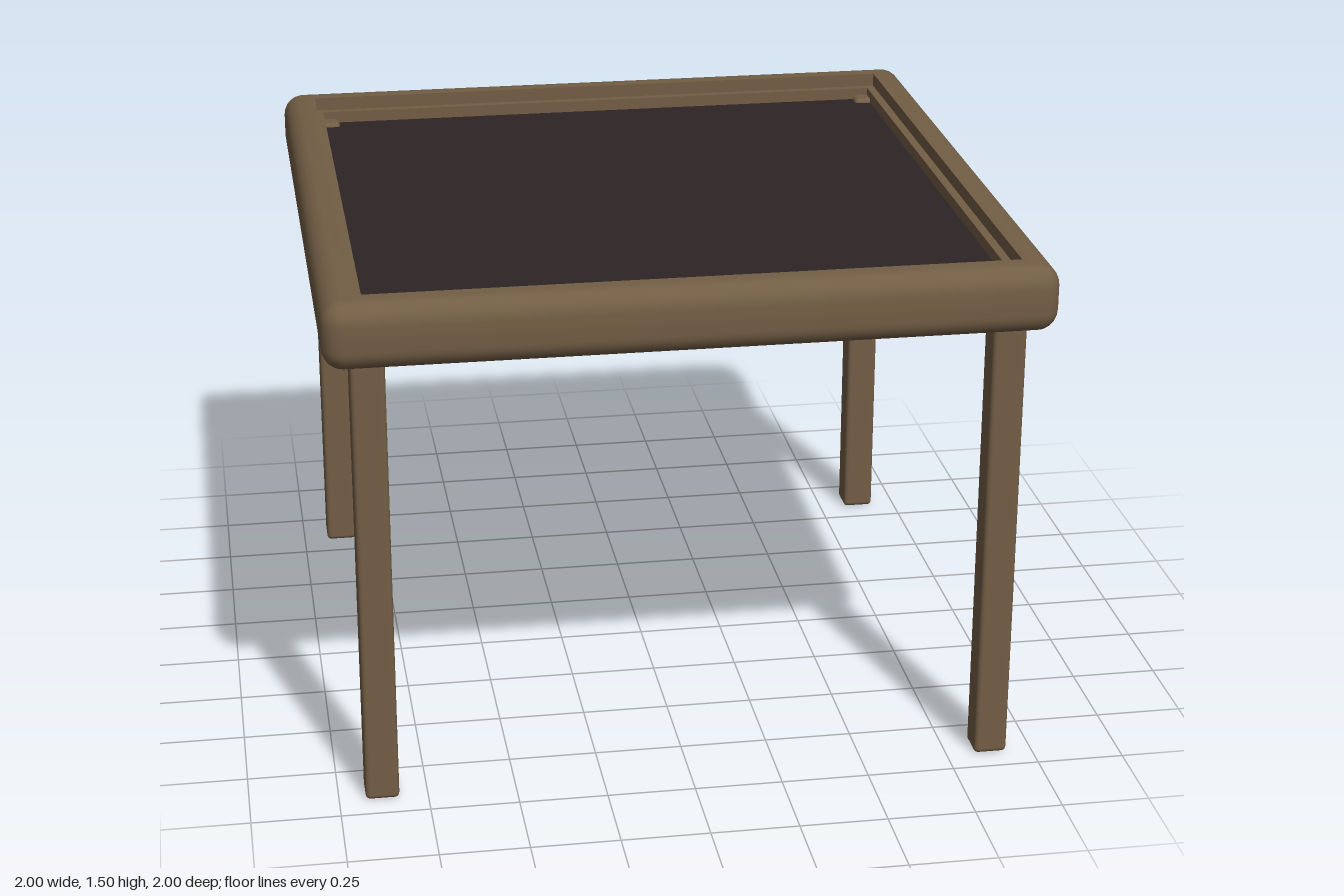
import * as THREE from 'three';
import { toCreasedNormals } from 'three/addons/utils/BufferGeometryUtils.js';
import { RoundedBoxGeometry } from 'three/addons/geometries/RoundedBoxGeometry.js';

const BOTTOM = 1.315, TOP = 1.505, LEDGE = 1.465, PANEL = 1.43, RADIUS = 0.06, STEPS = 6;

// Sweeps a profile of [inset, y] points around a square with rounded corners
function squareSweep(profile) {
  const positions = [], indices = [];
  const ring = 4 * (STEPS + 1);
  for (const [inset, y] of profile) {
    const r = Math.max(RADIUS - inset, 0);
    const c = 1 - inset - r;
    for (let corner = 0; corner < 4; corner++) {
      const mid = (corner + 0.5) * Math.PI / 2;
      const sx = Math.sign(Math.cos(mid)), sz = Math.sign(Math.sin(mid));
      for (let k = 0; k <= STEPS; k++) {
        const a = (corner + k / STEPS) * Math.PI / 2;
        positions.push(sx * c + r * Math.cos(a), y, sz * c + r * Math.sin(a));
      }
    }
  }
  const point = (n) => new THREE.Vector3().fromArray(positions, n * 3);
  const addFace = (a, b, c) => {
    const area = point(b).sub(point(a)).cross(point(c).sub(point(a))).length();
    if (area > 1e-9) indices.push(a, b, c);
  };
  for (let i = 0; i < profile.length - 1; i++) {
    for (let j = 0; j < ring; j++) {
      const a = i * ring + j, b = i * ring + (j + 1) % ring;
      addFace(a, a + ring, b);
      addFace(b, a + ring, b + ring);
    }
  }
  const geometry = new THREE.BufferGeometry();
  geometry.setAttribute('position', new THREE.Float32BufferAttribute(positions, 3));
  geometry.setIndex(indices);
  return toCreasedNormals(geometry, 0.7);
}

export function createModel() {
  const wood = new THREE.MeshStandardMaterial({ color: 0x735e45 });
  wood.name = 'brown wood';
  const dark = new THREE.MeshStandardMaterial({ color: 0x2e2425 });
  dark.name = 'dark panel';

  const model = new THREE.Group();
  model.name = 'table';

  // Table frame: flat underside, rounded rim, stepped recess
  const profile = [[1, BOTTOM]];
  for (let k = 0; k <= 2 * STEPS; k++) {
    const a = -Math.PI / 2 + (k / (2 * STEPS)) * Math.PI;
    const centre = k < STEPS ? BOTTOM + RADIUS : TOP - RADIUS;
    if (k === STEPS) profile.push([0, BOTTOM + RADIUS]);
    profile.push([RADIUS * (1 - Math.cos(a)), centre + RADIUS * Math.sin(a)]);
  }
  profile.push([0.095, TOP], [0.095, LEDGE], [0.12, LEDGE], [0.12, PANEL - 0.01]);
  const frame = new THREE.Mesh(squareSweep(profile), wood);
  frame.name = 'tabletopFrame';
  model.add(frame);

  // Recessed tabletop panel
  const panel = new THREE.Mesh(new THREE.BoxGeometry(1.76, 0.04, 1.76), dark);
  panel.name = 'tabletopPanel';
  panel.position.y = PANEL - 0.02;
  model.add(panel);

  // Four legs, whose tops just show in the panel's corners
  const legHeight = PANEL + 0.012;
  const legGeometry = new RoundedBoxGeometry(0.095, legHeight, 0.095, 3, 0.014);
  for (const [zName, z] of [['front', 1], ['back', -1]]) {
    for (const [xName, x] of [['Left', 1], ['Right', -1]]) {
      const leg = new THREE.Mesh(legGeometry, wood);
      leg.name = `${zName}${xName}Leg`;
      leg.position.set(x * 0.878, legHeight / 2, z * 0.878);
      model.add(leg);
    }
  }
  return model;
}
